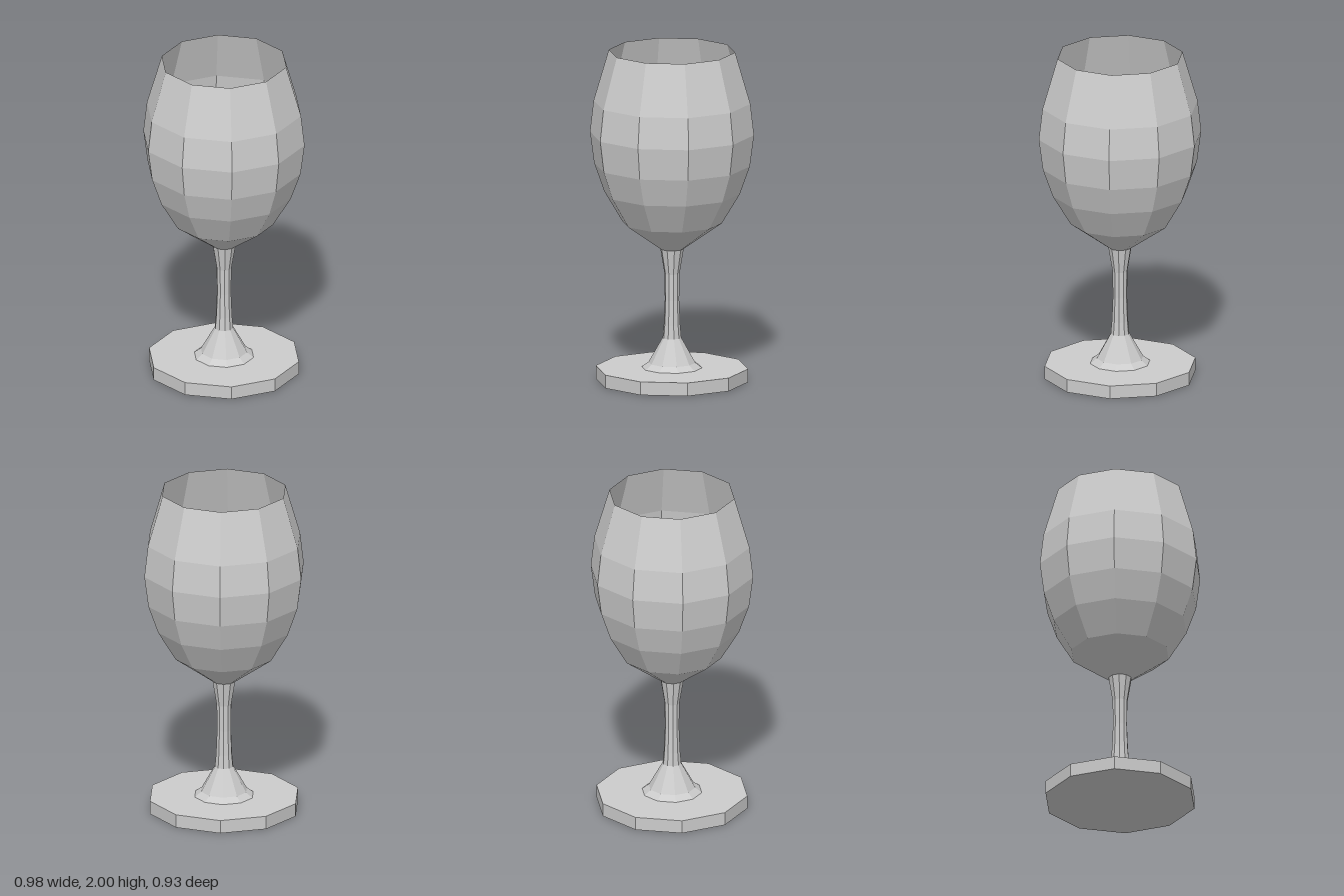
import * as THREE from 'three';

const SIDES = 10;

// Turns a profile of [radius, height] pairs, listed bottom to top, into a faceted ring
function turned(name, profile, material) {
  const points = profile.map(([r, y]) => new THREE.Vector2(r, y));
  const mesh = new THREE.Mesh(new THREE.LatheGeometry(points, SIDES, Math.PI / 2), material);
  mesh.name = name;
  return mesh;
}

export function createModel() {
  const glass = new THREE.Group();
  glass.name = 'wineGlass';
  const material = new THREE.MeshStandardMaterial({
    color: 0xcccccc, flatShading: true, side: THREE.DoubleSide,
  });

  // Foot: flat disc with a barely hollowed underside
  glass.add(turned('foot', [
    [0, 0.005], [0.15, 0], [0.455, 0], [0.455, 0.08], [0.18, 0.08],
  ], material));

  // Hollow stem, flared at both ends
  glass.add(turned('stem', [
    [0.18, 0.08], [0.14, 0.11], [0.056, 0.26], [0.049, 0.34],
    [0.043, 0.49], [0.045, 0.65], [0.07, 0.8],
  ], material));

  // Thin open bowl
  glass.add(turned('bowl', [
    [0.07, 0.8], [0.297, 0.96], [0.405, 1.14], [0.465, 1.31],
    [0.49, 1.5], [0.468, 1.69], [0.377, 2],
  ], material));

  return glass;
}
